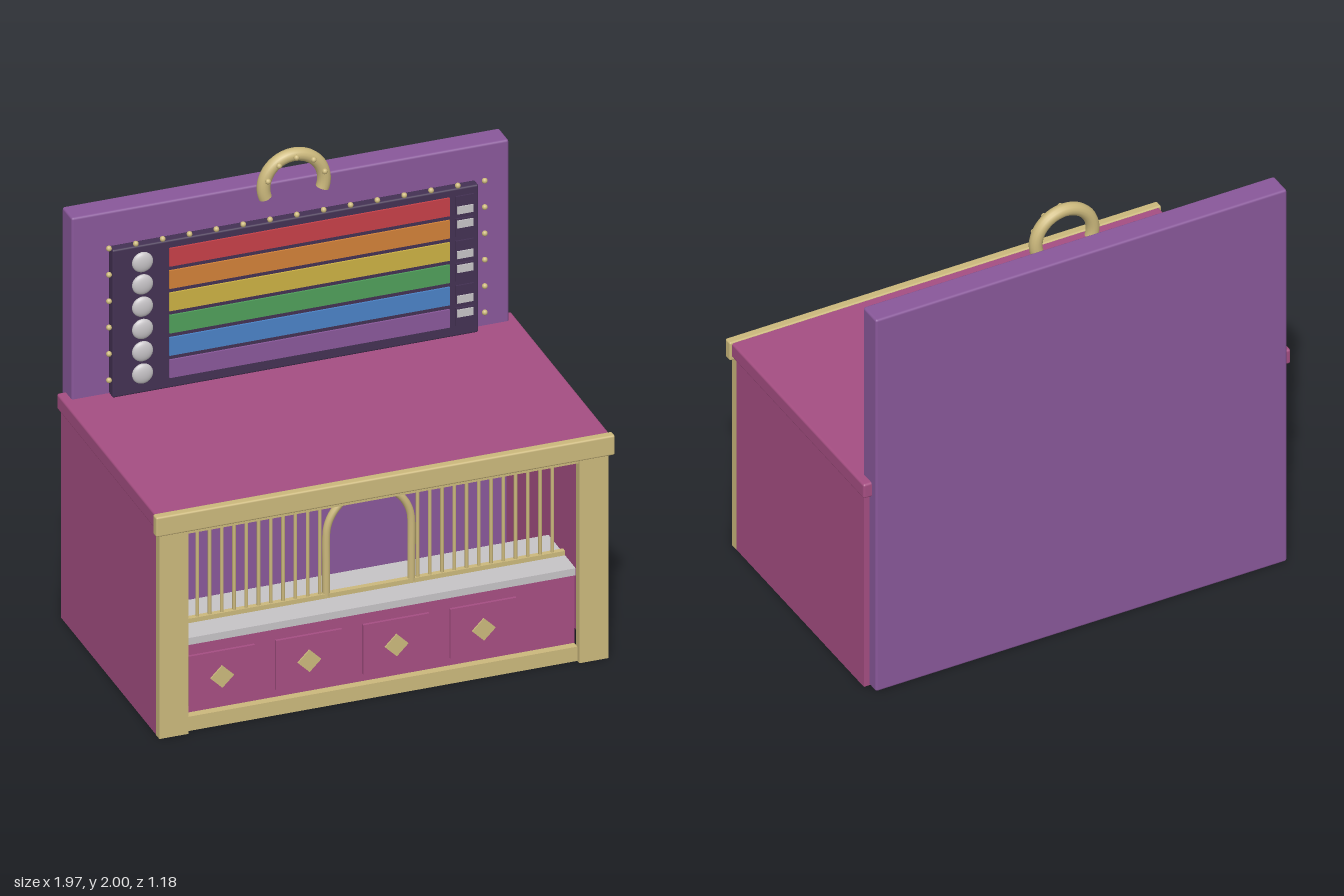
import * as THREE from 'three';
import { RoundedBoxGeometry } from 'three/addons/geometries/RoundedBoxGeometry.js';

const material = (name, color, side = THREE.FrontSide) => {
  const m = new THREE.MeshStandardMaterial({ color, side });
  m.name = name;
  return m;
};

export function createModel() {
  const model = new THREE.Group();
  model.name = 'bettingBooth';

  const pink = material('pink', 0xa54e82);
  const gold = material('gold', 0xcbb87c);
  const purple = material('purple', 0x89589a);
  const dark = material('darkPurple', 0x433153);
  const silver = material('silver', 0xc6c3c6);
  const red = material('red', 0xc64048);
  const orange = material('orange', 0xd08038);
  const yellow = material('yellow', 0xcbb043);
  const green = material('green', 0x4f9e5a);
  const blue = material('blue', 0x4a82c6);

  const add = (name, geometry, mat, x = 0, y = 0, z = 0) => {
    const mesh = new THREE.Mesh(geometry, mat);
    mesh.name = name;
    mesh.position.set(x, y, z);
    model.add(mesh);
    return mesh;
  };
  // Box given by its limits on each axis, with an optional rounded edge
  const box = (name, mat, x0, x1, y0, y1, z0, z1, r = 0) => {
    const size = [x1 - x0, y1 - y0, z1 - z0];
    const geometry = r ? new RoundedBoxGeometry(...size, 2, r) : new THREE.BoxGeometry(...size);
    return add(name, geometry, mat, (x0 + x1) / 2, (y0 + y1) / 2, (z0 + z1) / 2);
  };

  // Booth shell, open underneath
  box('backPanel', purple, -0.94, 0.94, 0, 1.84, -0.59, -0.48, 0.01);
  box('roof', pink, -0.977, 0.977, 0.945, 1.015, -0.555, 0.56, 0.01);
  for (const s of [-1, 1]) {
    const a = s * 0.93, b = s * 0.965;
    box('sideWall', pink, Math.min(a, b), Math.max(a, b), 0, 0.95, -0.535, 0.54);
    const c = s * 0.84, d = s * 0.966;
    box('frontPost', gold, Math.min(c, d), Math.max(c, d), 0, 0.94, 0.535, 0.572);
  }
  box('frontBeam', gold, -0.987, 0.987, 0.93, 1.02, 0.552, 0.592, 0.008);
  box('header', gold, -0.84, 0.84, 0.905, 0.945, 0.535, 0.56);

  // Counter with its top, plinth and drawers
  box('counterBody', pink, -0.84, 0.84, 0, 0.382, 0.25, 0.515);
  box('counterTop', silver, -0.84, 0.84, 0.38, 0.412, 0.225, 0.53);
  box('plinth', gold, -0.84, 0.84, 0, 0.065, 0.51, 0.55);
  for (let i = 0; i < 4; i++) {
    const x = -0.68 + i * 0.375;
    box('drawerFront', pink, x - 0.142, x + 0.142, 0.1, 0.325, 0.51, 0.527);
    const diamond = add('drawerDiamond', new THREE.BoxGeometry(0.071, 0.071, 0.008), gold, x, 0.21, 0.53);
    diamond.rotation.z = Math.PI / 4;
  }

  // Grille bars on either side of the serving arch
  const grilleZ = 0.4;
  box('grilleRail', gold, -0.84, 0.84, 0.41, 0.432, grilleZ - 0.012, grilleZ + 0.012);
  const barGeometry = new THREE.CylinderGeometry(0.0075, 0.0075, 0.53, 10);
  for (const s of [-1, 1])
    for (let i = 0; i < 12; i++)
      add('grilleBar', barGeometry, gold, s * (0.21 + i * 0.0527), 0.685, grilleZ);

  const arch = new THREE.CurvePath();
  const archPoints = [[-0.183, 0.42], [-0.183, 0.55]];
  for (let i = 0; i <= 16; i++) {
    const a = Math.PI * (1 - i / 16);
    archPoints.push([0.183 * Math.cos(a), 0.69 + 0.183 * Math.sin(a)]);
  }
  archPoints.push([0.183, 0.55], [0.183, 0.42]);
  arch.add(new THREE.CatmullRomCurve3(archPoints.map(([x, y]) => new THREE.Vector3(x, y, grilleZ))));
  add('servingArch', new THREE.TubeGeometry(arch, 64, 0.016, 12), gold);

  // Race board with coloured lanes, round markers and sliding tallies
  box('raceBoard', dark, -0.787, 0.787, 1.022, 1.695, -0.466, -0.42, 0.008);
  const discGeometry = new THREE.SphereGeometry(0.045, 24, 16);
  discGeometry.scale(1, 1, 0.4);
  [red, orange, yellow, green, blue, purple].forEach((mat, i) => {
    const y = 1.62 - i * 0.1015;
    box('lane', mat, -0.545, 0.66, y - 0.041, y + 0.041, -0.421, -0.412);
    add('laneMarker', discGeometry, silver, -0.66, y, -0.417);
    box('tallySlot', dark, 0.687, 0.763, y - 0.041, y + 0.041, -0.421, -0.413);
    const t = y + (i % 2 ? 0.017 : -0.021);
    box('tallyPlate', silver, 0.69, 0.76, t - 0.017, t + 0.017, -0.416, -0.408);
  });

  // Bulbs around the board
  const bulbGeometry = new THREE.SphereGeometry(0.012, 12, 8);
  for (let i = 0; i < 15; i++) add('bulb', bulbGeometry, gold, -0.808 + i * 0.1154, 1.715, -0.407);
  for (const s of [-1, 1])
    for (let i = 1; i < 6; i++) add('bulb', bulbGeometry, gold, s * 0.808, 1.715 - i * 0.12, -0.407);

  // Horseshoe with capped ends and studs
  const R = 0.13, r = 0.028, cy = 1.842, cz = -0.443, drop = 0.33;
  const shoe = new THREE.TorusGeometry(R, r, 14, 40, Math.PI + 2 * drop);
  shoe.rotateZ(-drop);
  add('horseshoe', shoe, gold, 0, cy, cz);
  for (const s of [-1, 1]) {
    const cap = new THREE.CircleGeometry(r, 14);
    cap.rotateX(Math.PI / 2);
    cap.rotateZ(-s * drop);
    add('horseshoeEnd', cap, gold, s * R * Math.cos(drop), cy - R * Math.sin(drop), cz);
  }
  for (const deg of [20, 55, 90, 125, 160]) {
    const a = THREE.MathUtils.degToRad(deg);
    add('horseshoeStud', bulbGeometry, gold, R * Math.cos(a), cy + R * Math.sin(a), -0.412);
  }

  return model;
}
